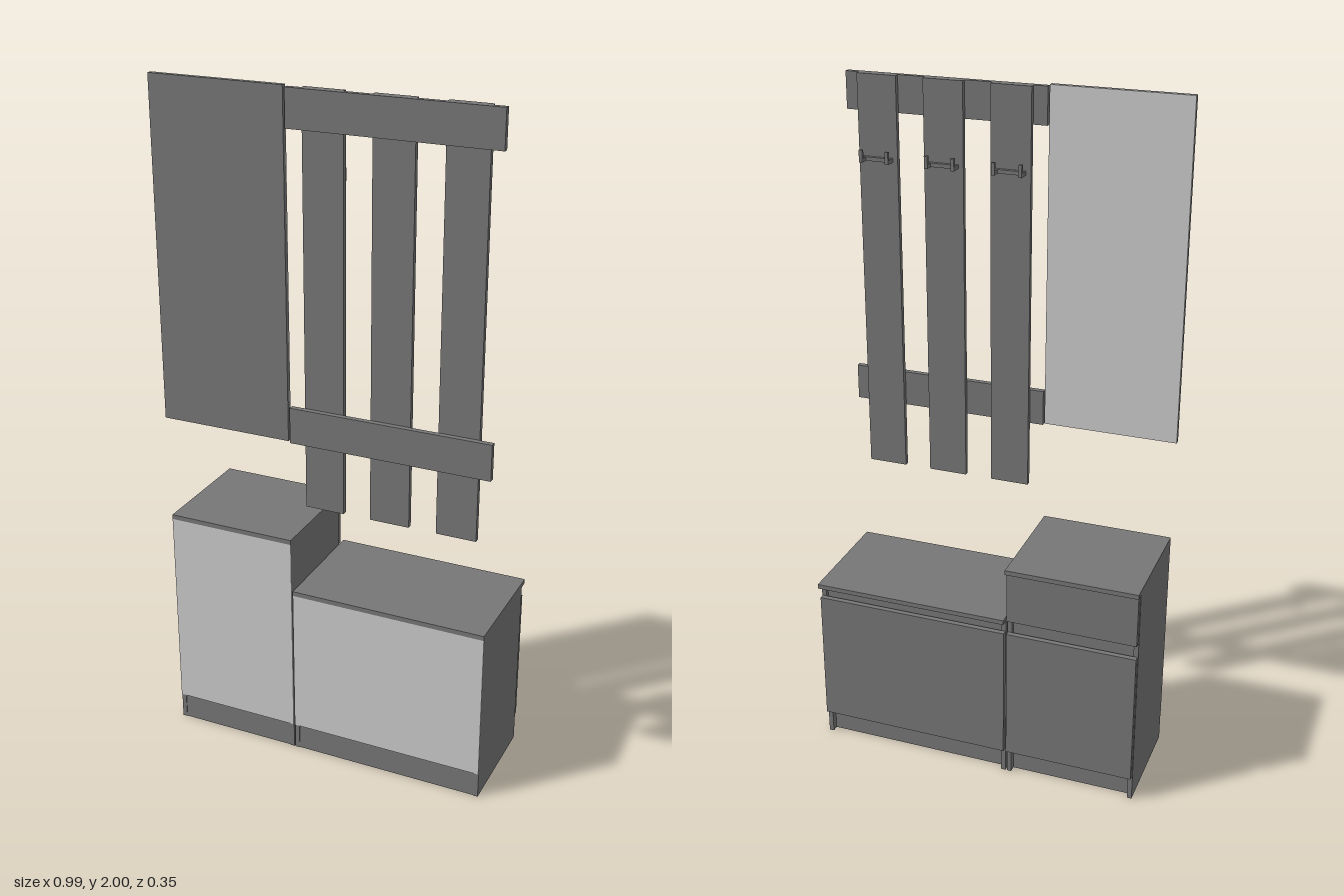
import * as THREE from 'three';

const dark = new THREE.MeshStandardMaterial({ color: 0x777777 });
const light = new THREE.MeshStandardMaterial({ color: 0xcccccc });

// Box given by its limits along each axis
function slab(parent, name, [x0, x1], [y0, y1], [z0, z1], material = dark) {
  const mesh = new THREE.Mesh(new THREE.BoxGeometry(x1 - x0, y1 - y0, z1 - z0), material);
  mesh.position.set((x0 + x1) / 2, (y0 + y1) / 2, (z0 + z1) / 2);
  mesh.name = name;
  parent.add(mesh);
  return mesh;
}

function group(parent, name) {
  const g = new THREE.Group();
  g.name = name;
  parent.add(g);
  return g;
}

const T = 0.014; // board thickness
const BACK = 0.175;
const BODY = -0.15; // carcass edge on the door side
const PLINTH = 0.08;

// Carcass with side panels, recessed plinth, light rear panel, top and door
function cabinet(parent, name, x0, x1, height) {
  const g = group(parent, name);
  const inner = [x0 + T, x1 - T];
  slab(g, 'sidePanel', [x0, x0 + T], [0, height - T], [BODY, BACK - 0.003]);
  slab(g, 'sidePanel', [x1 - T, x1], [0, height - T], [BODY, BACK - 0.003]);
  slab(g, 'plinth', inner, [0, PLINTH], [BODY + 0.02, BACK - 0.005]);
  slab(g, 'carcass', inner, [PLINTH, height - T], [BODY + 0.012, BACK - 0.003]);
  slab(g, 'rearPanel', [x0, x1], [PLINTH, height - T], [BACK - 0.003, BACK], light);
  slab(g, 'topBoard', [x0, x1], [height - T, height], [-0.175, BACK]);
  slab(g, 'door', [x0 + 0.002, x1 - 0.002], [PLINTH, 0.492], [BODY - 0.016, BODY]);
  return g;
}

// Double hook: mounting bar with two upturned prongs
function hook(parent, cx) {
  const g = group(parent, 'coatHook');
  slab(g, 'hookBar', [cx - 0.044, cx + 0.044], [1.755, 1.766], [0.133, 0.144]);
  for (const s of [-1, 1]) {
    const x = cx + s * 0.039;
    slab(g, 'hookArm', [x - 0.005, x + 0.005], [1.755, 1.765], [0.109, 0.135]);
    slab(g, 'hookTip', [x - 0.005, x + 0.005], [1.755, 1.79], [0.109, 0.118]);
  }
}

export function createModel() {
  const model = new THREE.Group();
  model.name = 'hallwayFurniture';

  // Floor cabinets
  const tall = cabinet(model, 'tallCabinet', -0.49, -0.1, 0.708);
  slab(tall, 'drawerFront', [-0.488, -0.102], [0.536, 0.692], [BODY - 0.016, BODY]);
  cabinet(model, 'lowCabinet', -0.096, 0.492, 0.542);

  // Wall mirror: glass on the door side of a backing board
  const mirror = group(model, 'mirror');
  slab(mirror, 'mirrorBacking', [-0.495, -0.101], [1.02, 2], [0.163, BACK]);
  slab(mirror, 'mirrorGlass', [-0.495, -0.101], [1.02, 2], [0.159, 0.163], light);

  // Coat rack: two rails, three slats with a hook each
  const rack = group(model, 'coatRack');
  for (const y of [1.015, 1.89]) slab(rack, 'rail', [-0.096, 0.492], [y, y + 0.105], [0.159, BACK]);
  for (const cx of [0.002, 0.198, 0.394]) {
    slab(rack, 'slat', [cx - 0.058, cx + 0.058], [0.82, 1.995], [0.144, 0.159]);
    hook(rack, cx);
  }
  return model;
}
